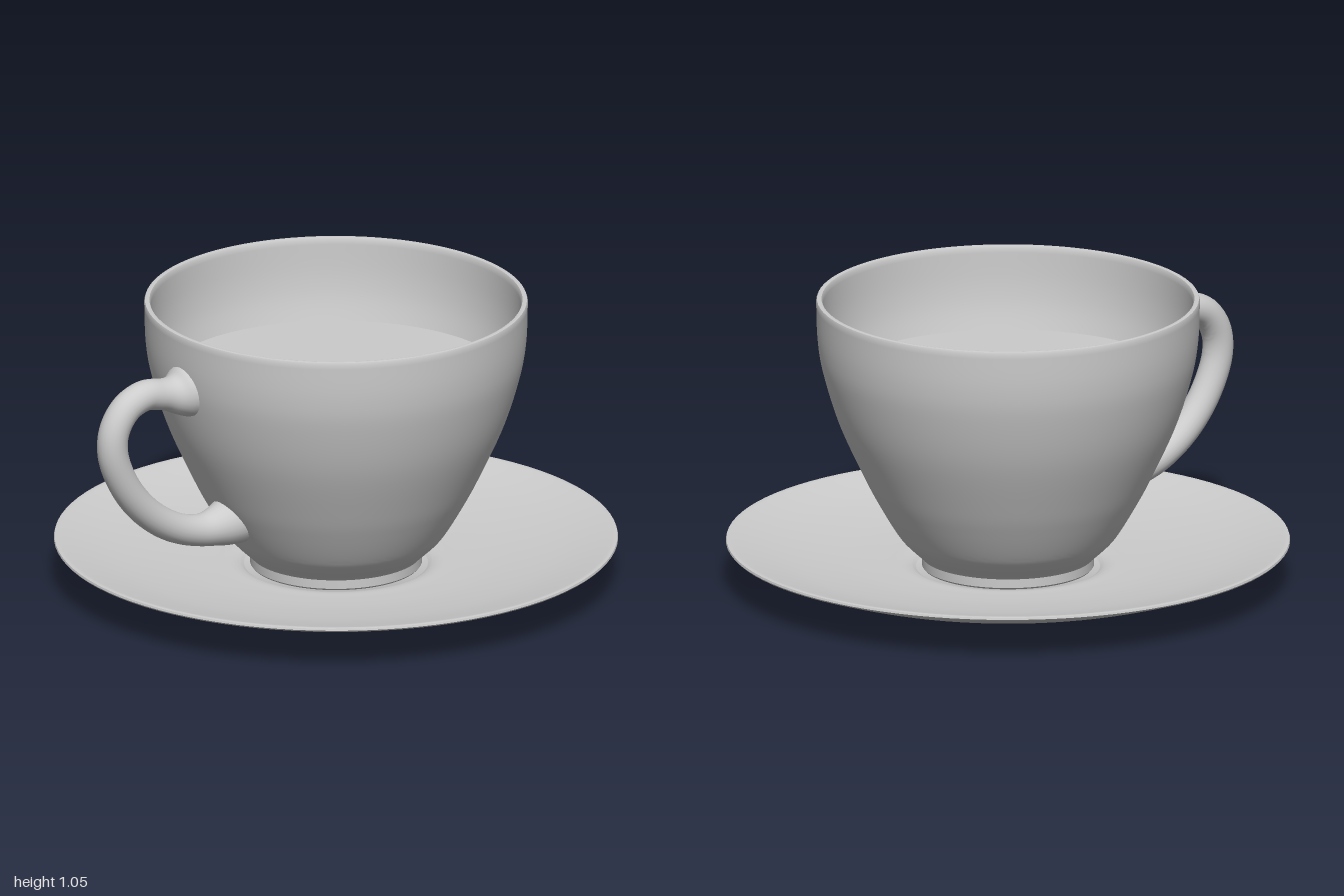
import * as THREE from 'three';
import { toCreasedNormals } from 'three/addons/utils/BufferGeometryUtils.js';

const material = new THREE.MeshStandardMaterial({ color: 0xcccccc });

// Smooth run of profile points through a few control points
function smooth(points, count) {
  return new THREE.SplineCurve(points.map(([x, y]) => new THREE.Vector2(x, y))).getPoints(count);
}

function addMesh(group, name, geometry, crease = 0.6) {
  const mesh = new THREE.Mesh(toCreasedNormals(geometry, crease), material);
  mesh.name = name;
  group.add(mesh);
  return mesh;
}

function turned(profile) {
  return new THREE.LatheGeometry(profile, 96);
}

// Tube whose rings widen towards both ends, where it joins the wall
function flaredTube(curve, segments, sides, radiusAt) {
  const geometry = new THREE.TubeGeometry(curve, segments, 1, sides);
  const pos = geometry.attributes.position;
  const v = new THREE.Vector3();
  for (let i = 0; i <= segments; i++) {
    const centre = curve.getPointAt(i / segments);
    const radius = radiusAt(i / segments);
    for (let j = 0; j <= sides; j++) {
      const k = i * (sides + 1) + j;
      v.fromBufferAttribute(pos, k).sub(centre).multiplyScalar(radius).add(centre);
      pos.setXYZ(k, v.x, v.y, v.z);
    }
  }
  return geometry;
}

export function createModel() {
  const group = new THREE.Group();

  // Saucer: shallow underside, thin rim, dished top with a well for the foot
  addMesh(group, 'saucer', turned([
    new THREE.Vector2(0, 0),
    ...smooth([[0.3, 0], [0.4, 0.006], [0.6, 0.035], [0.8, 0.083], [0.995, 0.15]], 28),
    new THREE.Vector2(1, 0.156),
    new THREE.Vector2(0.998, 0.163),
    new THREE.Vector2(0.99, 0.165),
    ...smooth([[0.98, 0.163], [0.8, 0.122], [0.6, 0.093], [0.45, 0.082], [0.38, 0.08],
      [0.345, 0.072], [0.325, 0.06]], 36),
    new THREE.Vector2(0, 0.06),
  ]));

  // Cup: foot ring, bowl, rounded lip and inner wall
  addMesh(group, 'cup', turned([
    new THREE.Vector2(0, 0.064),
    new THREE.Vector2(0.3, 0.062),
    new THREE.Vector2(0.305, 0.068),
    new THREE.Vector2(0.305, 0.1),
    ...smooth([[0.312, 0.108], [0.37, 0.163], [0.405, 0.21], [0.458, 0.3], [0.51, 0.4],
      [0.6, 0.6], [0.655, 0.78], [0.675, 0.9], [0.68, 1.04]], 44),
    new THREE.Vector2(0.677, 1.048),
    new THREE.Vector2(0.67, 1.05),
    new THREE.Vector2(0.661, 1.048),
    ...smooth([[0.657, 1.04], [0.65, 0.9], [0.628, 0.78], [0.57, 0.6], [0.48, 0.4],
      [0.37, 0.22], [0.25, 0.14], [0, 0.12]], 40),
  ]));

  // Drink filling the cup
  const drink = addMesh(group, 'drink', new THREE.CircleGeometry(0.622, 96).rotateX(-Math.PI / 2));
  drink.position.y = 0.75;

  // Ear-shaped handle, turned towards the front right
  const path = new THREE.CatmullRomCurve3([
    [0.652, 0.84], [0.7, 0.838], [0.765, 0.848], [0.83, 0.857], [0.91, 0.825], [0.962, 0.75],
    [0.968, 0.66], [0.915, 0.53], [0.82, 0.415], [0.7, 0.335], [0.59, 0.303], [0.51, 0.305], [0.43, 0.32],
  ].map(([x, y]) => new THREE.Vector3(x, y, 0)));
  const flare = (t) => 0.055 + 0.04 * Math.exp(-((t / 0.05) ** 2)) + 0.038 * Math.exp(-(((1 - t) / 0.09) ** 2));
  const handle = addMesh(group, 'handle', flaredTube(path, 96, 24, flare), 1.2);
  handle.rotation.y = Math.PI + THREE.MathUtils.degToRad(33);

  return group;
}
